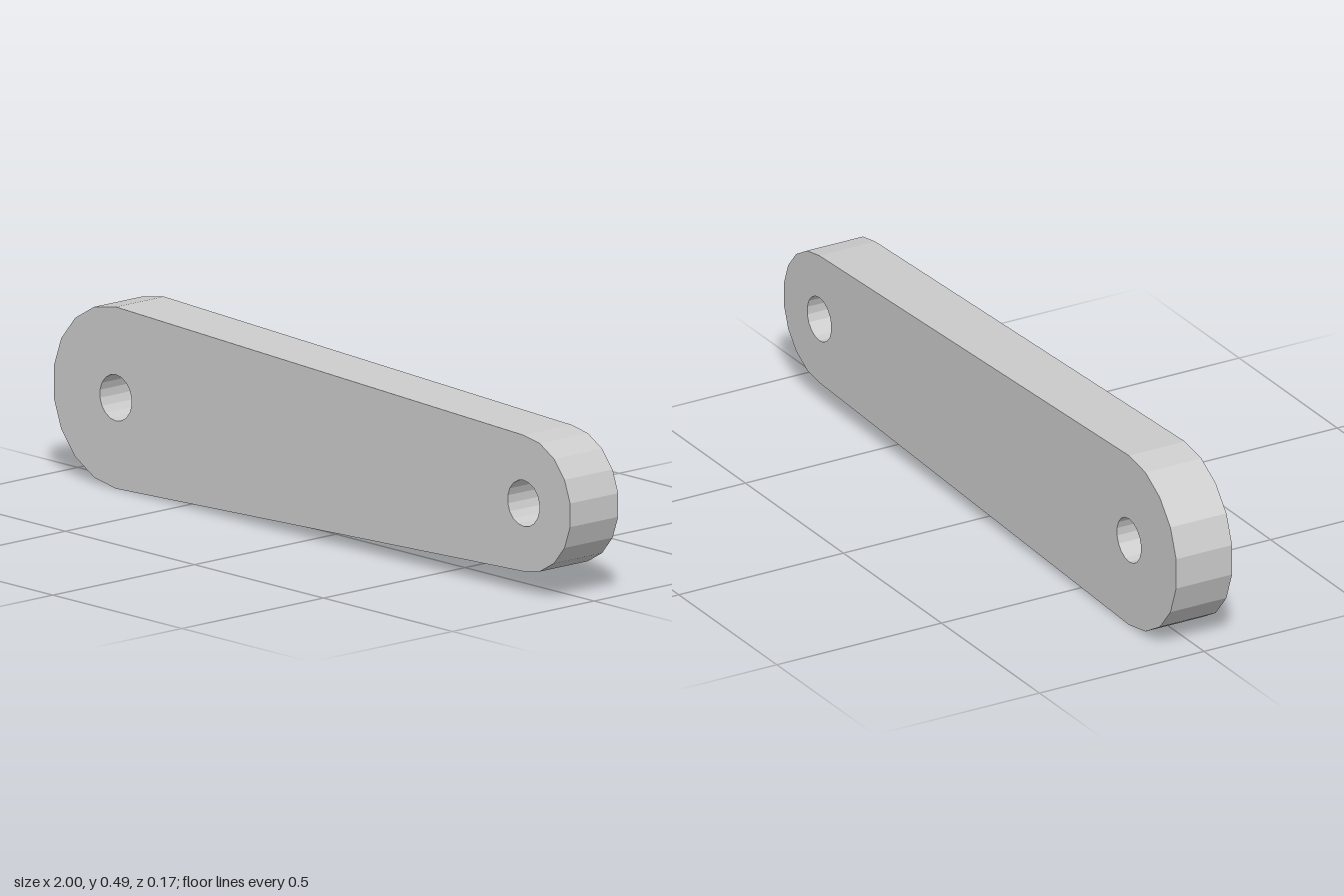
import * as THREE from 'three';

const MID_Y = 0.244, DEPTH = 0.17, STEPS = 9;

// Points of a faceted arc around (cx, MID_Y), in 20 degree steps
function arc(cx, radius, startDeg, steps) {
  const points = [];
  for (let i = 0; i <= steps; i++) {
    const a = THREE.MathUtils.degToRad(startDeg + i * 20);
    points.push(new THREE.Vector2(cx + radius * Math.cos(a), MID_Y + radius * Math.sin(a)));
  }
  return points;
}

export function createModel() {
  const group = new THREE.Group();
  group.name = 'linkArm';

  const largeEnd = { x: -0.76, radius: 0.244 };
  const smallEnd = { x: 0.82, radius: 0.183 };

  // Tapered outline: two rounded ends joined by straight edges
  const outline = new THREE.Shape([
    ...arc(smallEnd.x, smallEnd.radius, -90, STEPS),
    ...arc(largeEnd.x, largeEnd.radius, 90, STEPS),
  ]);

  // A pin hole through each end
  for (const end of [largeEnd, smallEnd]) {
    outline.holes.push(new THREE.Path(arc(end.x, 0.062, -90, 2 * STEPS - 1).reverse()));
  }

  const geometry = new THREE.ExtrudeGeometry(outline, { depth: DEPTH, bevelEnabled: false });
  geometry.translate(0, 0, -DEPTH / 2);

  const arm = new THREE.Mesh(
    geometry,
    new THREE.MeshStandardMaterial({ color: 0xcccccc, flatShading: true })
  );
  arm.name = 'arm';
  group.add(arm);
  return group;
}
